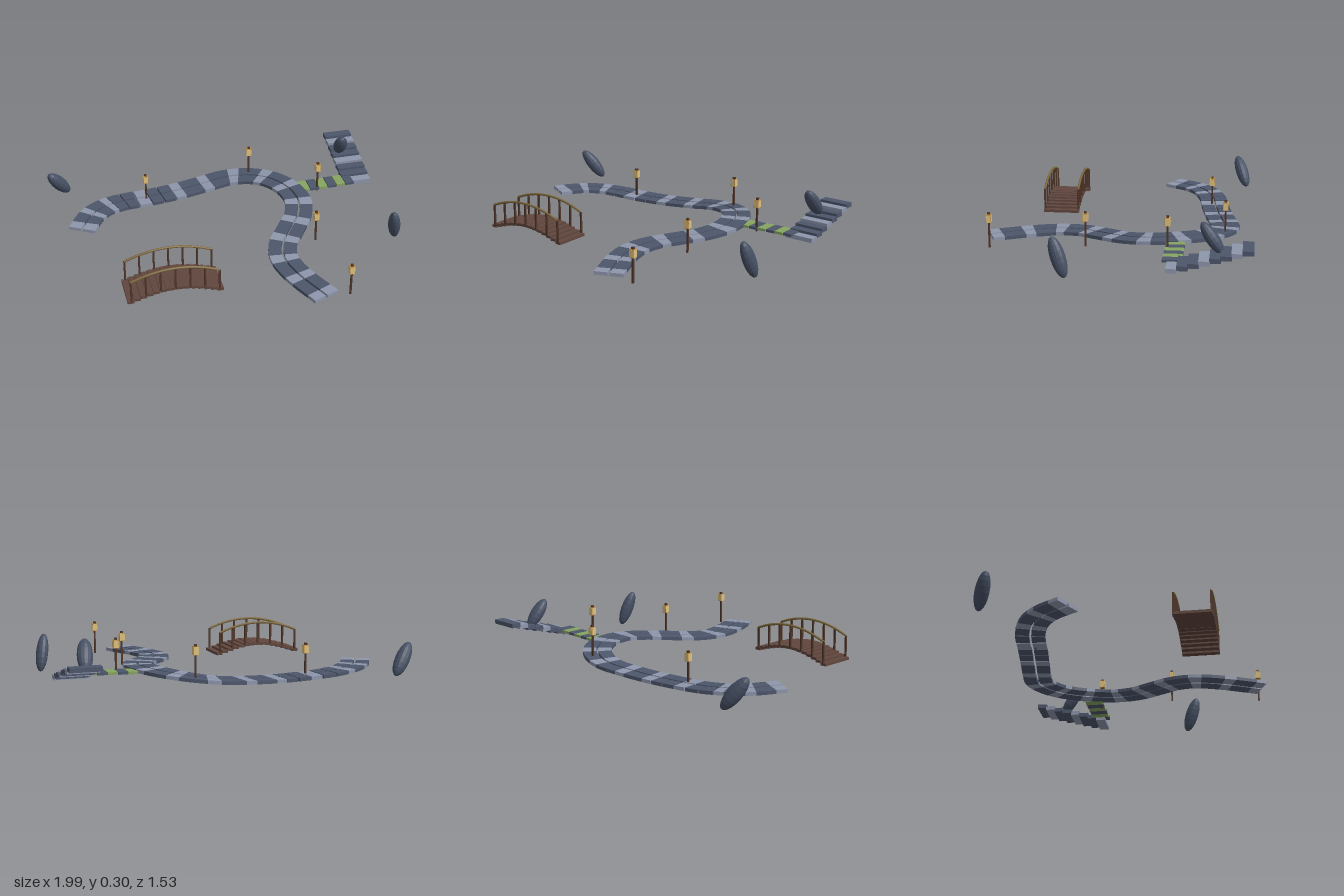
import * as THREE from 'three';

const mat = (name, color, extra = {}) => {
  const m = new THREE.MeshStandardMaterial({ color, ...extra });
  m.name = name;
  return m;
};

export function createModel() {
  const root = new THREE.Group();
  root.name = 'gardenPath';
  const M = {
    dark: mat('darkStone', 0x4d566b),
    light: mat('lightStone', 0x8e96ac),
    moss: mat('moss', 0x87a560),
    boulder: mat('boulderStone', 0x465064, { flatShading: true }),
    wood: mat('bridgeWood', 0x60463d),
    post: mat('darkWood', 0x503629),
    rail: mat('railWood', 0x7e693d),
    lamp: mat('lampPaper', 0xe0c17e),
    brass: mat('lampFrame', 0xb88a45),
  };
  const add = (parent, name, geo, material, x = 0, y = 0, z = 0) => {
    const m = new THREE.Mesh(geo, material);
    m.name = name;
    m.position.set(x, y, z);
    parent.add(m);
    return m;
  };
  const group = (name) => {
    const g = new THREE.Group();
    g.name = name;
    root.add(g);
    return g;
  };
  const box = (w, h, d) => new THREE.BoxGeometry(w, h, d);

  // Winding path: two lanes of slabs bent along one curve
  const curve = new THREE.CatmullRomCurve3([
    [-0.85, 0.053, -0.23], [-0.77, 0.05, -0.37], [-0.68, 0.046, -0.45], [-0.55, 0.038, -0.5],
    [-0.4, 0.032, -0.52], [-0.2, 0.032, -0.55], [0, 0.042, -0.583], [0.13, 0.053, -0.598],
    [0.27, 0.068, -0.56], [0.38, 0.08, -0.475], [0.457, 0.086, -0.34], [0.482, 0.083, -0.19],
    [0.442, 0.073, -0.05], [0.35, 0.062, 0.09], [0.272, 0.053, 0.21], [0.245, 0.047, 0.34],
    [0.275, 0.043, 0.49], [0.375, 0.04, 0.73],
  ].map((p) => new THREE.Vector3(...p)));
  curve.arcLengthDivisions = 600;
  const slab = (t0, t1, o0, o1, h) => {
    const g = new THREE.BoxGeometry(1, 1, 1, 2, 1, 1);
    const p = g.attributes.position;
    for (let i = 0; i < p.count; i++) {
      const t = THREE.MathUtils.clamp(t0 + (t1 - t0) * (p.getX(i) + 0.5), 0, 1);
      const c = curve.getPointAt(t);
      const d = curve.getTangentAt(t).setY(0).normalize();
      const o = o0 + (o1 - o0) * (p.getZ(i) + 0.5);
      p.setXYZ(i, c.x - d.z * o, c.y + p.getY(i) * h, c.z + d.x * o);
    }
    g.computeVertexNormals();
    return g;
  };
  // Runs of slabs: first index, count, start and end along the curve, gap
  const path = group('windingPath');
  [
    [0, 1, 0, 0.025, 0],
    [1, 6, 0.025, 0.127, 0],
    [7, 5, 0.127, 0.274, 0.05],
    [12, 31, 0.274, 1, 0],
  ].forEach(([first, count, a, b, gap]) => {
    const pitch = (b - a) / count;
    for (let k = 0; k < count; k++) {
      const t0 = a + (k + gap) * pitch, t1 = a + (k + 1 - gap) * pitch;
      const m = (first + k) % 3 === 0 ? M.light : M.dark;
      add(path, 'outerSlab', slab(t0, t1, -0.083, -0.006, 0.02), m);
      add(path, 'innerSlab', slab(t0, t1, 0.006, 0.083, 0.02), m);
    }
  });

  // Mossy side path
  const side = group('sidePath');
  for (let i = 0; i < 6; i++) {
    add(side, 'sideSlab', box(0.054, 0.015, 0.105), i % 2 ? M.dark : M.moss,
      0.565 + i * 0.0575, 0.083 + i * 0.0015, -0.338);
  }

  // Stone stairs climbing to the back
  const stairs = group('stairs');
  for (let i = 0; i < 8; i++) {
    add(stairs, 'stairStep', box(0.175, 0.025, 0.06), i % 3 ? M.dark : M.light,
      0.912, 0.077 + i * 0.0153, -0.342 - i * 0.056);
  }

  // Leaning boulders: centre, half of the long axis, short radii
  [
    [[-0.926, 0.125, -0.678], [-0.06, 0.087, 0.034], 0.042, 0.04],
    [[0.869, 0.222, -0.545], [-0.012, 0.08, 0.056], 0.044, 0.036],
    [[0.946, 0.115, 0.25], [-0.02, 0.106, 0.037], 0.036, 0.041],
  ].forEach(([c, a, rx, rz]) => {
    const axis = new THREE.Vector3(...a);
    const b = add(root, 'boulder', new THREE.SphereGeometry(1, 14, 10), M.boulder, ...c);
    b.scale.set(rx, axis.length(), rz);
    b.quaternion.setFromUnitVectors(new THREE.Vector3(0, 1, 0), axis.normalize());
  });

  // Arched footbridge
  const bridge = group('bridge');
  const cx = -0.432, cz = 0.411, half = 0.272;
  const arch = (x) => Math.cos((x / half) * Math.PI / 2);
  const planks = 15, step = (2 * half) / planks;
  for (let i = 0; i < planks; i++) {
    const x = -half + (i + 0.5) * step;
    add(bridge, 'plank', box(step * 1.02, 0.016, 0.213), M.wood, cx + x, 0.031 + 0.058 * arch(x), cz);
  }
  const railY = (x) => 0.17 + 0.053 * (1 - (x / 0.25) ** 2);
  for (const s of [-1, 1]) {
    const z = cz + s * 0.102;
    const pts = [];
    for (let i = 0; i < 7; i++) {
      const x = -0.25 + i * (0.5 / 6);
      const y0 = 0.031 + 0.058 * arch(x), y1 = railY(x);
      pts.push(new THREE.Vector3(cx + x, y1, z));
      add(bridge, 'railPost', box(0.01, y1 - y0, 0.01), M.post, cx + x, (y0 + y1) / 2, z);
    }
    add(bridge, 'handRail', new THREE.TubeGeometry(new THREE.CatmullRomCurve3(pts), 24, 0.007, 8), M.rail);
  }

  // Post lanterns with paper panes in a frame
  [
    [-0.409, 0.015, -0.5], [0.276, 0.057, -0.6], [0.64, 0.066, -0.298],
    [0.485, 0.03, 0.17], [0.522, 0.017, 0.706],
  ].forEach((p) => {
    const l = group('lantern');
    l.position.set(...p);
    add(l, 'lanternPost', box(0.01, 0.145, 0.01), M.post, 0, 0.0725, 0);
    add(l, 'lanternFrame', box(0.03, 0.047, 0.03), M.brass, 0, 0.1675, 0);
    add(l, 'lanternPaneX', box(0.032, 0.042, 0.027), M.lamp, 0, 0.1675, 0);
    add(l, 'lanternPaneZ', box(0.027, 0.042, 0.032), M.lamp, 0, 0.1675, 0);
    add(l, 'lanternFinial', box(0.014, 0.011, 0.014), M.post, 0, 0.1965, 0);
  });

  return root;
}
